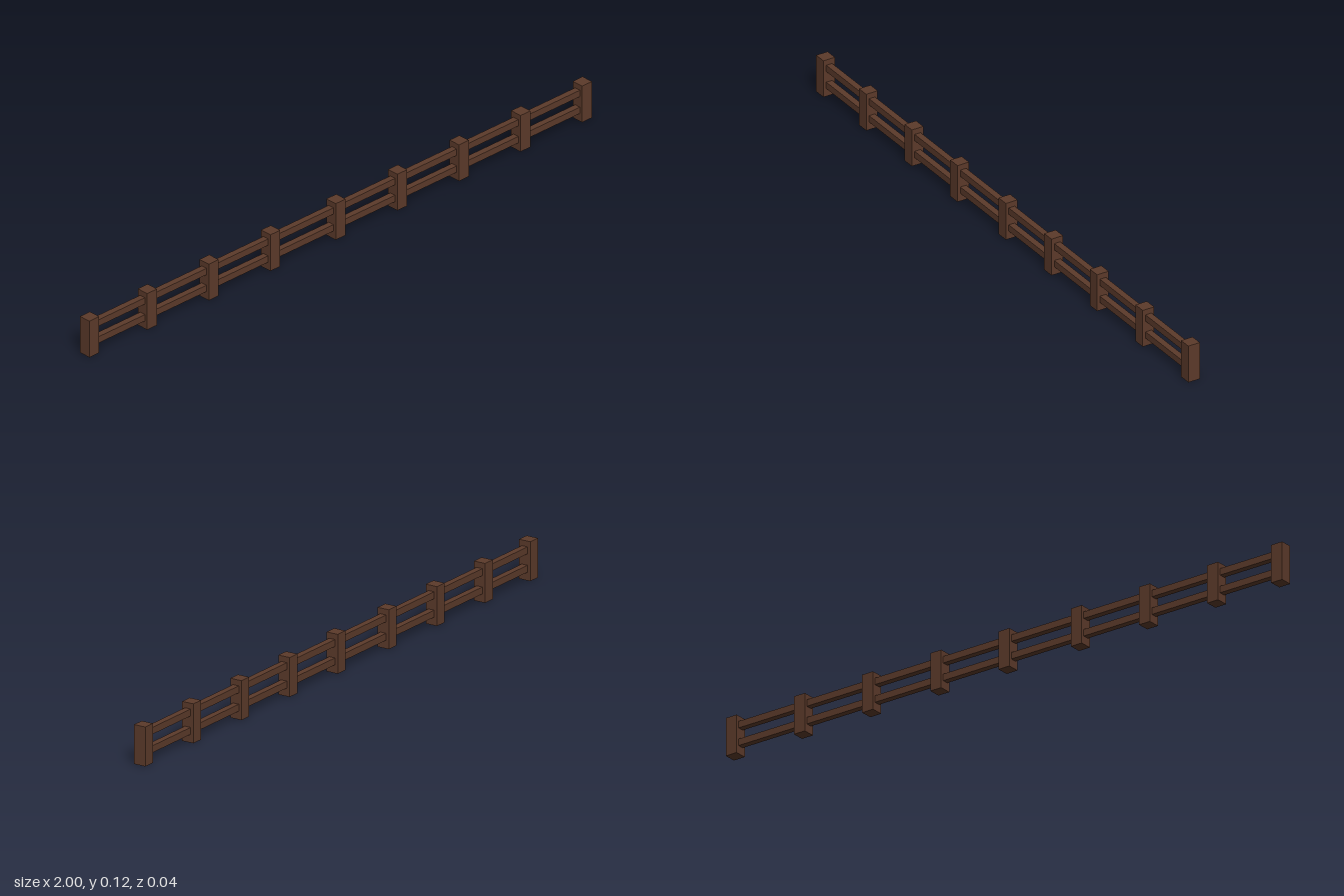
import * as THREE from 'three';

export function createModel() {
  const fence = new THREE.Group();
  fence.name = 'fence';
  const wood = new THREE.MeshStandardMaterial({ color: 0x5c3a2a, flatShading: true });

  const addBox = (name, w, h, d, x, y) => {
    const mesh = new THREE.Mesh(new THREE.BoxGeometry(w, h, d), wood);
    mesh.name = name;
    mesh.position.set(x, y, 0);
    fence.add(mesh);
  };

  // square posts standing on the ground
  const postX = [-0.98, -0.75, -0.505, -0.26, 0, 0.245, 0.49, 0.735, 0.98];
  postX.forEach((x, i) => addBox(`post${i + 1}`, 0.039, 0.12, 0.039, x, 0.06));

  // two long rails running between the end posts
  addBox('lowerRail', 1.925, 0.021, 0.02, 0, 0.036);
  addBox('upperRail', 1.925, 0.021, 0.02, 0, 0.092);

  return fence;
}
